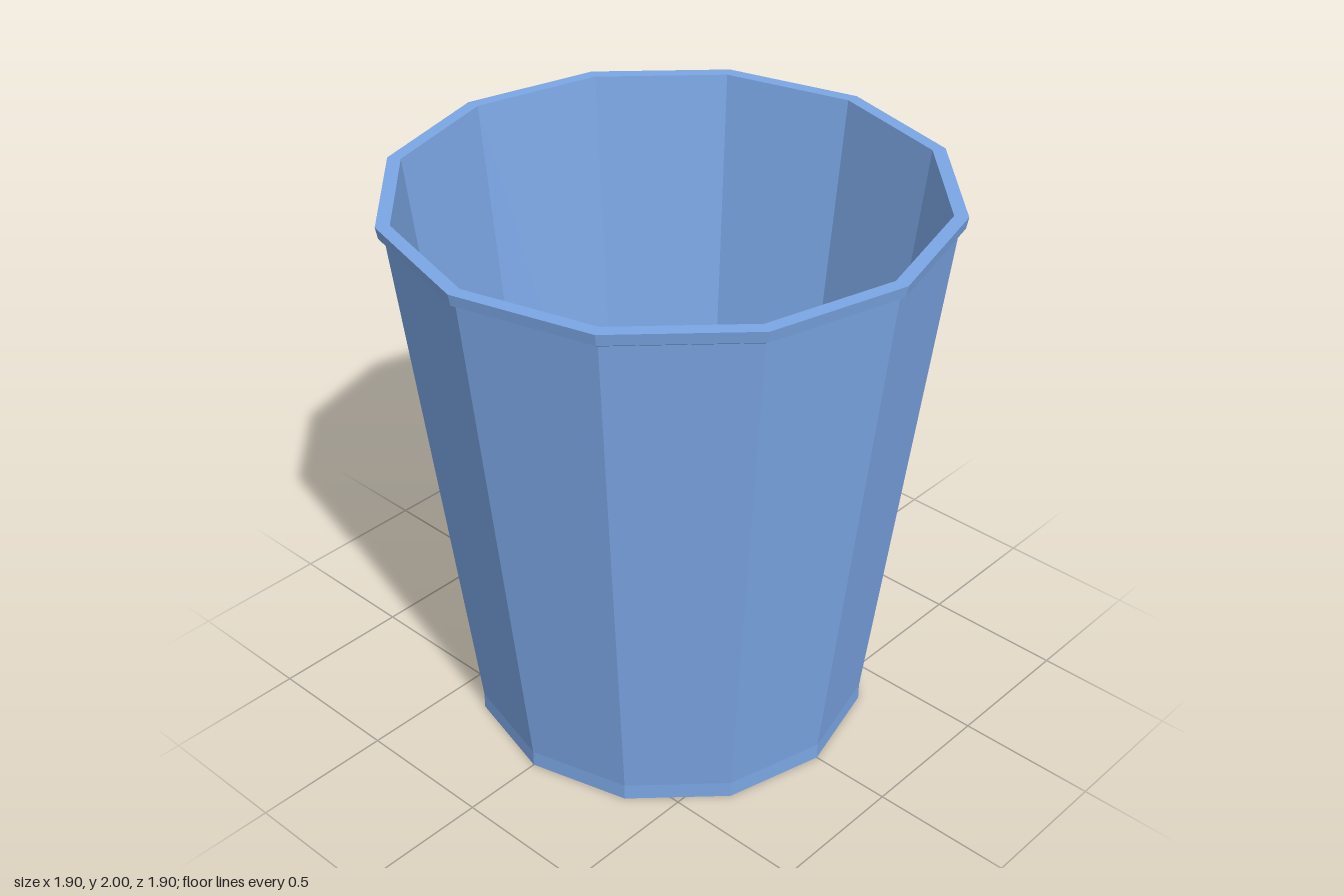
import * as THREE from 'three';

const SIDES = 12;
const material = new THREE.MeshStandardMaterial({ color: 0x7ba6e4, flatShading: true });

// Revolve a [radius, height] profile into a faceted part
function turned(name, profile) {
  const points = profile.map(([r, y]) => new THREE.Vector2(r, y));
  const geometry = new THREE.LatheGeometry(points, SIDES).toNonIndexed();
  geometry.computeVertexNormals();
  const mesh = new THREE.Mesh(geometry, material);
  mesh.name = name;
  return mesh;
}

export function createModel() {
  const cup = new THREE.Group();
  cup.name = 'cup';

  // Recessed underside with its foot ring
  cup.add(turned('base', [[0, 0.03], [0.67, 0.03], [0.67, 0], [0.707, 0], [0.707, 0.06]]));

  // Tapered outer wall
  cup.add(turned('outerWall', [[0.707, 0.06], [0.925, 1.947]]));

  // Overhanging lip with a sloped underside
  cup.add(turned('rim', [[0.925, 1.947], [0.945, 1.96], [0.952, 2], [0.905, 2]]));

  // Inside wall and floor
  cup.add(turned('innerWall', [[0.905, 2], [0.68, 0.06]]));
  cup.add(turned('floor', [[0.68, 0.06], [0, 0.06]]));

  return cup;
}
